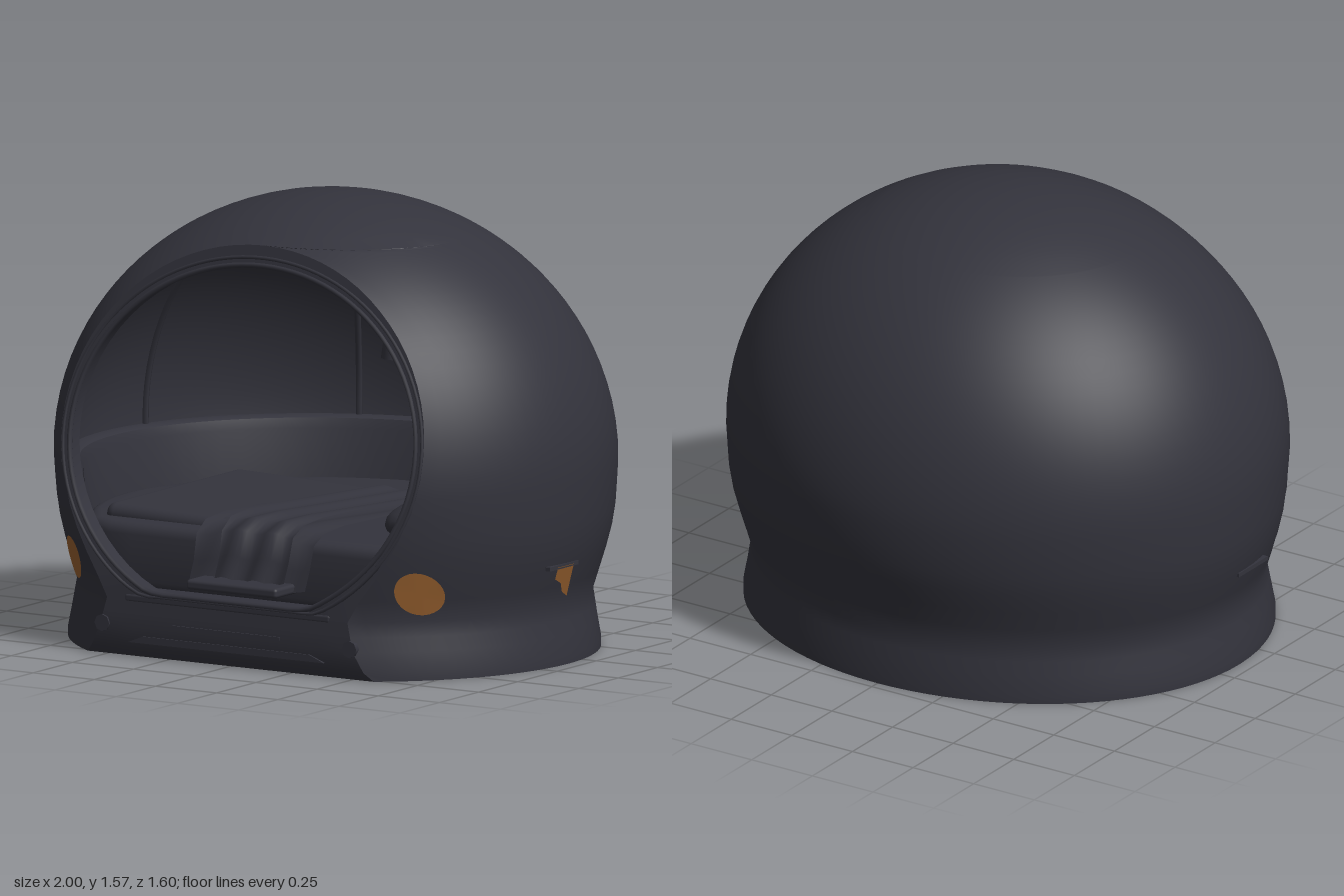
import * as THREE from 'three';
import { toCreasedNormals } from 'three/addons/utils/BufferGeometryUtils.js';
import { RoundedBoxGeometry } from 'three/addons/geometries/RoundedBoxGeometry.js';

const dark = new THREE.MeshStandardMaterial({ color: 0x33333c, side: THREE.DoubleSide });
dark.name = 'charcoal';
const amber = new THREE.MeshStandardMaterial({ color: 0x9a6230, side: THREE.DoubleSide });
amber.name = 'amber';

const CY = 0.65, CZ = 0.1, TOP = 1.565, RIM_TOP = 1.438;

// Piecewise linear lookup in rows of [key, ...values]
function lookup(rows, k, col) {
  let i = 0;
  while (i < rows.length - 2 && k > rows[i + 1][0]) i++;
  const t = (k - rows[i][0]) / (rows[i + 1][0] - rows[i][0]);
  return THREE.MathUtils.lerp(rows[i][col], rows[i + 1][col], t);
}
// Height, half width, depth behind and depth in front of the centre
const FOOT = [[0, 0.95, 0.815, 0.85], [0.03, 0.95, 0.815, 0.85], [0.1, 0.935, 0.81, 0.84], [0.2, 0.918, 0.8, 0.82],
  [0.3, 0.95, 0.825, 0.84], [0.4, 0.98, 0.86, 0.86], [0.5, 0.993, 0.885, 0.88], [0.65, 1, 0.9, 0.9]];
function radii(y) {
  if (y < CY) return [1, 2, 3].map(c => lookup(FOOT, y, c));
  const k = Math.sqrt(Math.max(0, 1 - ((y - CY) / (TOP - CY)) ** 2));
  return [k, 0.9 * k, 0.9 * k];
}
// Leaning front face
const FRONT = [[0, 0.77], [0.03, 0.79], [0.1, 0.8], [0.28, 0.787], [0.75, 0.7], [1.25, 0.6], [1.45, 0.555]];
const frontZ = y => lookup(FRONT, y, 1);
function frontAngle(y) {
  const rf = radii(y)[2];
  return y >= RIM_TOP || rf < 0.01 ? Math.PI / 2 : Math.asin(Math.min(1, (frontZ(y) - CZ) / rf));
}
const edgeX = y => radii(y)[0] * Math.cos(frontAngle(y));

// Point on the dome at angle a and height y, shrunk about the centre by s
function onDome(a, y, s = 1) {
  const [rx, rb, rf] = radii(y), sn = Math.sin(a);
  return new THREE.Vector3(s * rx * Math.cos(a), CY + s * (y - CY), CZ + s * sn * (sn > 0 ? rf : rb));
}
// u = 0..1 runs from the left edge of the face round the back to the right edge
const domeAt = (u, y, s) => {
  const a = frontAngle(y);
  return onDome(a - u * (Math.PI + 2 * a), y, s);
};

// Surface from a grid of points
function grid(nu, nv, fn, crease = 0.6) {
  const pos = [], idx = [];
  for (let j = 0; j <= nv; j++) for (let i = 0; i <= nu; i++) pos.push(...fn(i / nu, j).toArray());
  for (let j = 0; j < nv; j++) for (let i = 0; i < nu; i++) {
    const a = j * (nu + 1) + i, b = a + nu + 1;
    idx.push(a, a + 1, b, a + 1, b + 1, b);
  }
  const g = new THREE.BufferGeometry();
  g.setAttribute('position', new THREE.Float32BufferAttribute(pos, 3));
  g.setIndex(idx);
  return toCreasedNormals(g, crease);
}

export function createModel() {
  const model = new THREE.Group();
  model.name = 'domePodBed';
  const add = (name, geo, mat = dark, x = 0, y = 0, z = 0) => {
    const m = new THREE.Mesh(geo, mat);
    m.name = name;
    m.position.set(x, y, z);
    model.add(m);
    return m;
  };

  // Row heights, tighter towards the rim top and the crown
  const low = [0, 0.03, 0.1, 0.15, 0.2];
  const ringYs = [0.2], crown = [];
  for (let i = 1; i <= 26; i++) ringYs.push(0.2 + (RIM_TOP - 0.2) * Math.sin(i / 26 * Math.PI / 2));
  for (let i = 1; i <= 8; i++) crown.push(RIM_TOP + (TOP - RIM_TOP) * Math.sin(i / 8 * Math.PI / 2));
  const ys = [...low, ...ringYs.slice(1), ...crown];

  // Outer shell, lower front panel and underside
  add('outerShell', grid(72, ys.length - 1, (u, j) => domeAt(u, ys[j])));
  add('frontPanel', grid(8, low.length - 1, (u, j) =>
    new THREE.Vector3((2 * u - 1) * edgeX(low[j]), low[j], frontZ(low[j]))));
  const foot = [];
  for (let i = 0; i <= 72; i++) {
    const p = domeAt(i / 72, 0);
    foot.push(new THREE.Vector2(p.x, p.z));
  }
  add('underside', new THREE.ShapeGeometry(new THREE.Shape(foot)).rotateX(Math.PI / 2), dark, 0, 0.001);

  // Face ring around the oval opening, with a flat sill
  const outline = [...ringYs.map(y => new THREE.Vector2(edgeX(y), y)),
    ...ringYs.slice(0, -1).reverse().map(y => new THREE.Vector2(-edgeX(y), y))];
  const opening = (grow) => {
    const pts = [];
    for (let i = 0; i < 64; i++) {
      const a = i / 64 * Math.PI * 2;
      pts.push(new THREE.Vector2((0.7 + grow) * Math.cos(a), Math.max(0.225 - grow * 0.3, 0.765 + (0.6 + grow) * Math.sin(a))));
    }
    return pts;
  };
  const ring = new THREE.Shape(outline);
  ring.holes.push(new THREE.Path(opening(0)));
  const ringGeo = new THREE.ExtrudeGeometry(ring, { depth: 0.06, bevelEnabled: false });
  const rp = ringGeo.attributes.position;
  for (let i = 0; i < rp.count; i++) rp.setZ(i, rp.getZ(i) - 0.06 + frontZ(rp.getY(i)));
  add('faceRing', toCreasedNormals(ringGeo, 0.6));
  for (const [grow, r] of [[0.004, 0.01], [0.03, 0.008]]) {
    const path = new THREE.CatmullRomCurve3(opening(grow).map(p => new THREE.Vector3(p.x, p.y, frontZ(p.y) - 0.003)), true);
    add('openingTrim', new THREE.TubeGeometry(path, 96, r, 6, true));
  }

  // Front panel details
  add('sill', new RoundedBoxGeometry(0.84, 0.03, 0.06, 2, 0.01), dark, 0, 0.205, 0.765);
  add('slot', new THREE.BoxGeometry(0.44, 0.012, 0.012), dark, 0, 0.12, 0.798);
  const step = new THREE.Shape([[-0.4, 0.052], [0.4, 0.052], [0.34, 0.076], [-0.34, 0.076]].map(p => new THREE.Vector2(...p)));
  add('frontStep', new THREE.ExtrudeGeometry(step, { depth: 0.02, bevelEnabled: false }), dark, 0, 0, 0.782);
  for (const s of [-1, 1]) {
    add('bolt', new THREE.CylinderGeometry(0.03, 0.03, 0.05, 8).rotateX(Math.PI / 2), dark, s * 0.505, 0.11, 0.78);
    add('sideVent', new THREE.BoxGeometry(0.02, 0.014, 0.18), dark, s * 0.962, 0.352, 0.16);

    // Round front lights laid on the shell
    const disc = new THREE.CircleGeometry(1, 28).scale(0.063, 0.077, 1).translate(s * 0.705, 0.302, 0);
    const p = disc.attributes.position;
    for (let i = 0; i < p.count; i++) {
      const [rx, , rf] = radii(p.getY(i));
      p.setZ(i, CZ + 0.009 + rf * Math.sqrt(1 - (p.getX(i) / rx) ** 2));
    }
    disc.computeVertexNormals();
    add('frontLight', disc, amber);
  }

  // Side marker light on the left
  const marker = new THREE.Shape([[-0.2, 0.352], [-0.2, 0.31], [-0.155, 0.29], [-0.13, 0.255], [-0.09, 0.235], [-0.1, 0.352]]
    .map(p => new THREE.Vector2(...p)));
  const markerGeo = new THREE.ShapeGeometry(marker).rotateY(Math.PI / 2);
  const mp = markerGeo.attributes.position;
  for (let i = 0; i < mp.count; i++) mp.setX(i, radii(mp.getY(i))[0] + 0.007);
  markerGeo.computeVertexNormals();
  add('sideLight', markerGeo, amber);

  // Inner lining, wall ribs and padded band with a ledge
  const inYs = ys.filter(y => y >= 0.15);
  add('innerLining', grid(60, inYs.length - 1, (u, j) => domeAt(1 - u, inYs[j], 0.96)));
  for (const deg of [-165, -115, -65, -15]) {
    const pts = [];
    for (let i = 0; i <= 12; i++) pts.push(onDome(deg * Math.PI / 180, 0.62 + 0.92 * Math.sin(i / 12 * Math.PI / 2), 0.955));
    add('wallRib', new THREE.TubeGeometry(new THREE.CatmullRomCurve3(pts), 24, 0.012, 5));
  }
  const band = [[0.36, 0.88], [0.59, 0.9], [0.625, 0.91], [0.632, 0.925], [0.632, 0.965]];
  add('wallPadding', grid(48, band.length - 1, (u, j) => {
    const [y, s] = band[j];
    const p = onDome(0.6 - (1 - u) * (Math.PI + 1.2), 0.6, s);
    return p.setY(y);
  }));

  // Mattress with a rounded edge
  const bed = [];
  for (let i = 0; i < 48; i++) {
    const p = onDome(i / 48 * Math.PI * 2, 0.4, 0.86);
    bed.push(new THREE.Vector2(p.x, -Math.min(p.z, 0.57)));
  }
  const bedGeo = new THREE.ExtrudeGeometry(new THREE.Shape(bed),
    { depth: 0.16, bevelThickness: 0.04, bevelSize: 0.04, bevelSegments: 4 }).rotateX(-Math.PI / 2);
  add('mattress', toCreasedNormals(bedGeo, 0.7), dark, 0, 0.23);
  add('floor', new THREE.BoxGeometry(1.2, 0.02, 0.6), dark, 0, 0.2, 0.42);

  // Pillow, bunched duvet and the throw hanging over the front
  const pillow = add('pillow', new THREE.SphereGeometry(1, 24, 14), dark, 0.52, 0.48, 0.1);
  pillow.scale.set(0.25, 0.09, 0.32);
  pillow.rotation.z = 0.12;
  const duvet = add('duvet', new RoundedBoxGeometry(0.6, 0.08, 0.85, 4, 0.038), dark, -0.38, 0.425, 0.1);
  duvet.rotation.z = -0.03;
  const drape = [[0.455, -0.35], [0.475, 0.1], [0.49, 0.45], [0.485, 0.58], [0.45, 0.645], [0.36, 0.665], [0.285, 0.69]];
  for (const [name, x0, x1, lift] of [['blanket', -0.24, 0.24, -0.025], ['throw', -0.12, 0.17, 0]]) {
    add(name, grid(16, drape.length - 1, (u, j) => {
      const wave = 0.008 * Math.sin(u * 14 + j);
      return new THREE.Vector3(THREE.MathUtils.lerp(x0, x1, u), drape[j][0] + lift + wave, drape[j][1] + lift + wave);
    }, 1.2).scale(1, 1, 1));
  }
  add('tray', new RoundedBoxGeometry(0.37, 0.035, 0.15, 2, 0.012), dark, 0, 0.268, 0.695);

  // Hanging lamp
  add('lampShade', new THREE.CylinderGeometry(0.048, 0.065, 0.12, 16), dark, 0.26, 1.065, 0.1);
  add('lampCap', new THREE.CylinderGeometry(0.018, 0.022, 0.04, 10), dark, 0.26, 1.145, 0.1);
  add('lampCord', new THREE.CylinderGeometry(0.005, 0.005, 0.09, 6), amber, 0.26, 1.205, 0.1);
  const arm = new THREE.CatmullRomCurve3([[0.26, 1.16], [0.22, 1.24], [0.14, 1.34], [0.05, 1.52]]
    .map(([x, y]) => new THREE.Vector3(x, y, 0.1)));
  add('lampArm', new THREE.TubeGeometry(arm, 16, 0.006, 6));

  return model;
}
